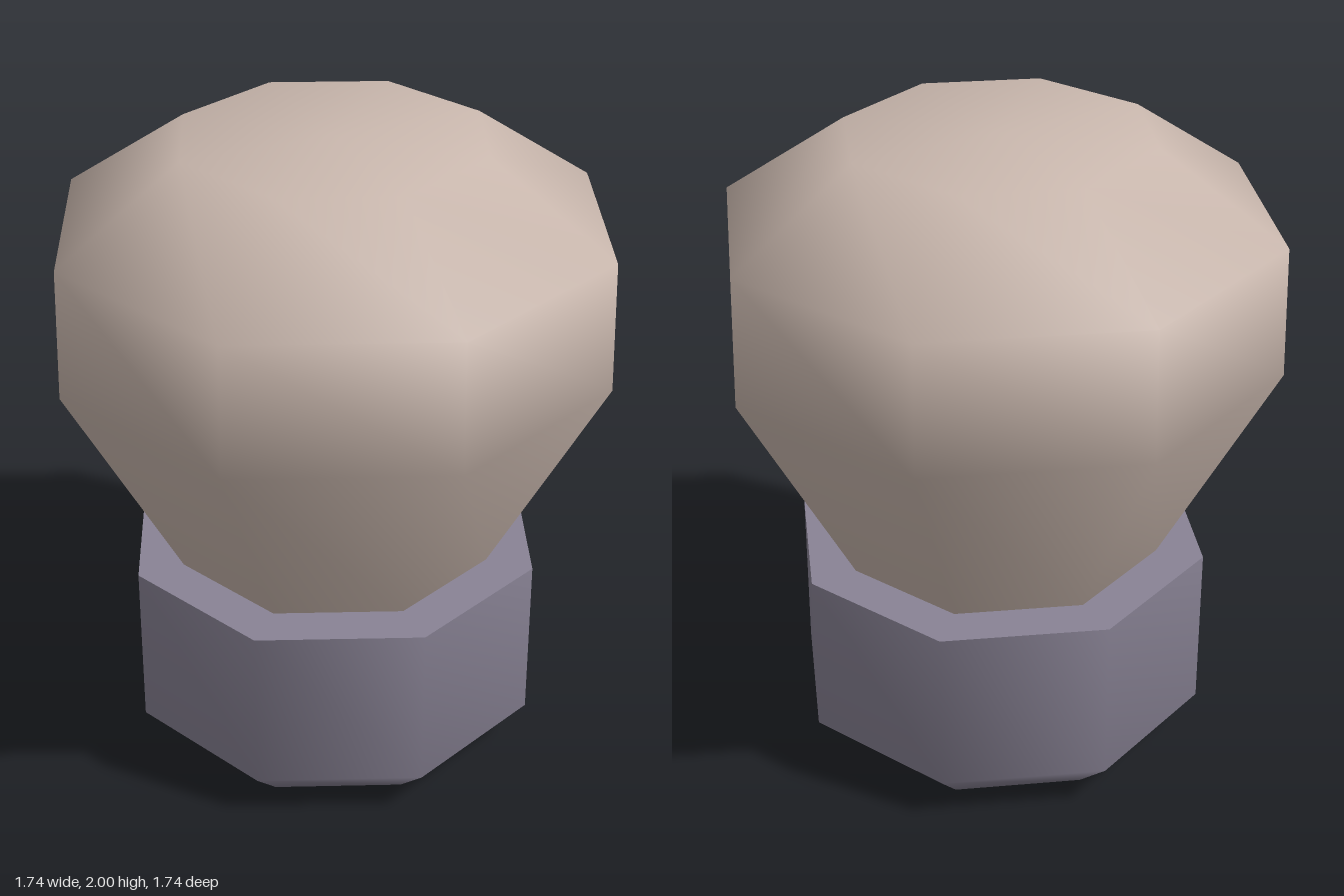
import * as THREE from 'three';

const SIDES = 8;

// Eight-sided turned part from [radius, height] pairs, listed bottom to top
function turned(name, profile, material) {
  const points = profile.map(([r, y]) => new THREE.Vector2(r, y));
  const mesh = new THREE.Mesh(new THREE.LatheGeometry(points, SIDES), material);
  mesh.name = name;
  return mesh;
}

export function createModel() {
  const glass = new THREE.MeshStandardMaterial({ color: 0xcab8ae });
  glass.name = 'warm beige';
  const metal = new THREE.MeshStandardMaterial({ color: 0x898395 });
  metal.name = 'purple grey';

  const model = new THREE.Group();
  model.name = 'bulb';

  // Smooth bulb flaring up from the socket
  model.add(turned('bulbHead', [[0.51, 0.66], [0.87, 1.33], [0.86, 1.735], [0.475, 2], [0, 2]], glass));

  // Chamfered socket and its crisp flat rim
  const socket = new THREE.Group();
  socket.name = 'socket';
  socket.add(turned('socketBody', [[0, 0], [0.515, 0], [0.66, 0.135], [0.66, 0.66]], metal));
  socket.add(turned('socketRim', [[0.66, 0.66], [0.51, 0.66]], metal));
  model.add(socket);

  return model;
}
